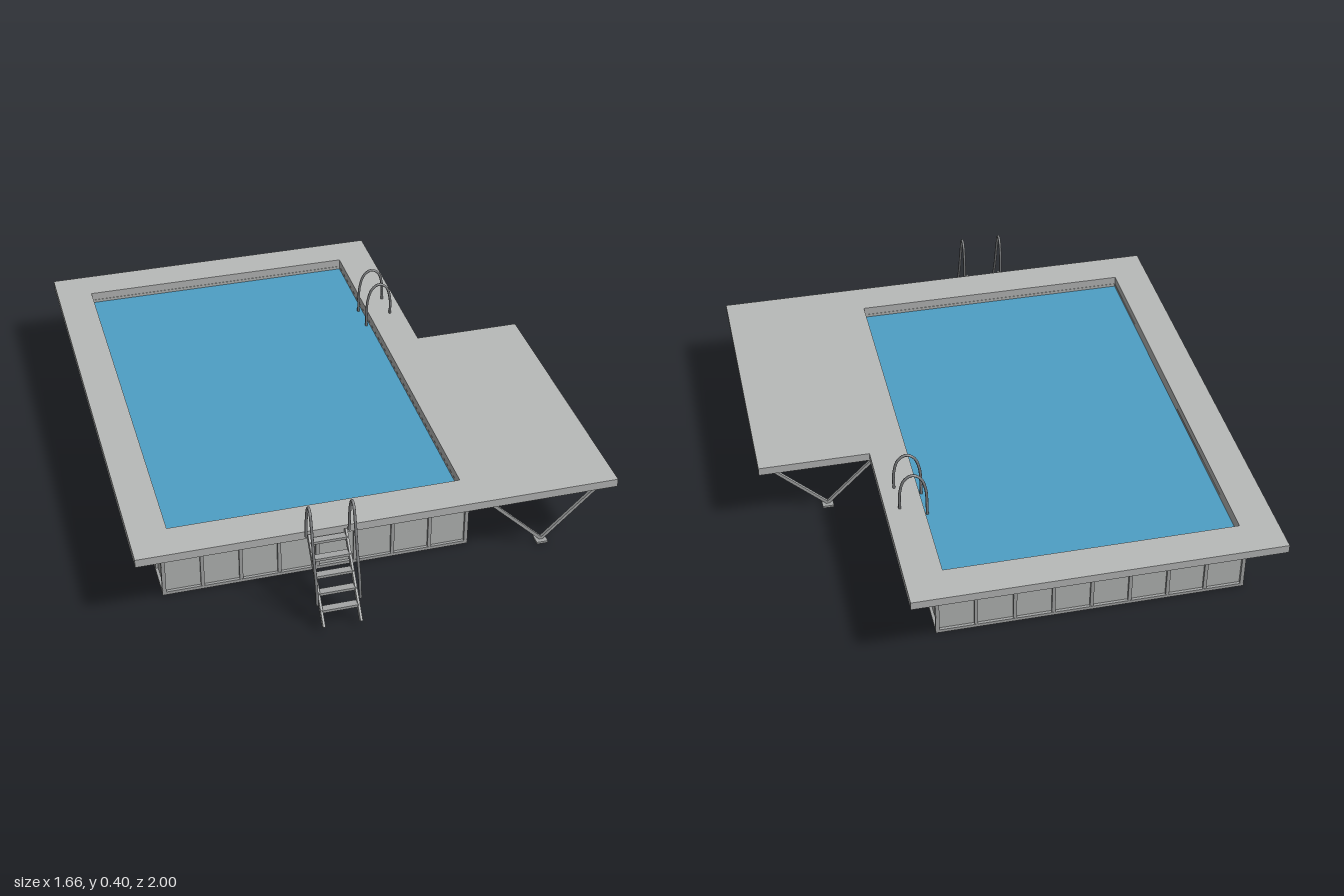
import * as THREE from 'three';

const material = (name, color, side = THREE.FrontSide) => {
  const m = new THREE.MeshStandardMaterial({ color, side });
  m.name = name;
  return m;
};

export function createModel() {
  const deckGrey = material('deck grey', 0xb8bab9);
  const panelGrey = material('panel grey', 0xb6b8b7);
  const frameGrey = material('frame grey', 0xa4a6a6);
  const railGrey = material('rail grey', 0x808284);
  const waterBlue = material('water blue', 0x4e9fc5);
  const floorBlue = material('floor blue', 0x2f6a9e);

  const model = new THREE.Group();
  model.name = 'aboveGroundPool';
  const group = (name) => {
    const g = new THREE.Group();
    g.name = name;
    model.add(g);
    return g;
  };
  const add = (parent, name, geometry, mat) => {
    const mesh = new THREE.Mesh(geometry, mat);
    mesh.name = name;
    parent.add(mesh);
    return mesh;
  };
  // Box given by its minimum and maximum corners
  const box = (parent, name, mat, x0, x1, y0, y1, z0, z1) =>
    add(parent, name, new THREE.BoxGeometry(x1 - x0, y1 - y0, z1 - z0), mat)
      .position.set((x0 + x1) / 2, (y0 + y1) / 2, (z0 + z1) / 2);
  // Square bar between two points
  const bar = (parent, name, mat, a, b, w, d = w) => {
    const p = new THREE.Vector3(...a), q = new THREE.Vector3(...b);
    const mesh = add(parent, name, new THREE.BoxGeometry(w, p.distanceTo(q), d), mat);
    mesh.position.copy(p).add(q).multiplyScalar(0.5);
    mesh.quaternion.setFromUnitVectors(new THREE.Vector3(0, 1, 0), q.sub(p).normalize());
  };
  // Round bent rail through points
  const rail = (parent, name, points, r = 0.005) => {
    const curve = new THREE.CatmullRomCurve3(points.map((p) => new THREE.Vector3(...p)));
    add(parent, name, new THREE.TubeGeometry(curve, 40, r, 8), railGrey);
  };

  // Outer wall limits
  const X0 = -0.73, X1 = 0.34, Z0 = -0.89, Z1 = 0.68, H = 0.23;

  // L-shaped deck with the pool opening
  const outline = (pts) => pts.map(([x, z]) => new THREE.Vector2(x, -z));
  const shape = new THREE.Shape(outline(
    [[-0.83, 0.79], [0.83, 0.79], [0.83, -0.23], [0.44, -0.23], [0.44, -1], [-0.83, -1]]));
  shape.holes.push(new THREE.Path(outline(
    [[-0.7, 0.655], [-0.7, -0.87], [0.31, -0.87], [0.31, 0.655]])));
  const deck = new THREE.ExtrudeGeometry(shape, { depth: 0.03, bevelEnabled: false });
  deck.rotateX(-Math.PI / 2).translate(0, H, 0);
  add(model, 'deck', deck, deckGrey);

  // Water and floor
  box(model, 'water', waterBlue, -0.705, 0.315, 0.012, 0.218, -0.872, 0.657);
  box(model, 'floor', floorBlue, X0 + 0.008, X1 - 0.008, 0, 0.01, Z0 + 0.008, Z1 - 0.008);

  // Wall panels, set back from the frame
  const walls = group('walls');
  const t = 0.01, top = H - 0.001;
  box(walls, 'leftPanel', panelGrey, X1 - 0.03, X1 - t, 0.004, top, Z0 + t, Z1 - t);
  box(walls, 'rightPanel', panelGrey, X0 + t, X0 + 0.03, 0.004, top, Z0 + t, Z1 - t);
  box(walls, 'frontPanel', panelGrey, X0 + 0.03, X1 - 0.03, 0.004, top, Z1 - 0.025, Z1 - t);
  box(walls, 'backPanel', panelGrey, X0 + 0.03, X1 - 0.03, 0.004, top, Z0 + t, Z0 + 0.02);

  // Frame rails and posts around the wall
  const frame = group('wallFrame');
  for (const [y0, y1] of [[0, 0.012], [0.218, top]]) {
    box(frame, 'frontRail', frameGrey, X0, X1, y0, y1, Z1 - 0.014, Z1);
    box(frame, 'backRail', frameGrey, X0, X1, y0, y1, Z0, Z0 + 0.014);
    box(frame, 'leftRail', frameGrey, X1 - 0.014, X1, y0, y1, Z0, Z1);
    box(frame, 'rightRail', frameGrey, X0, X0 + 0.014, y0, y1, Z0, Z1);
  }
  const w = 0.006;
  for (let i = 0; i <= 8; i++) {
    const x = X0 + w + (X1 - X0 - 2 * w) * i / 8;
    box(frame, 'frontPost', frameGrey, x - w, x + w, 0, top, Z1 - 0.013, Z1 - 0.001);
    box(frame, 'backPost', frameGrey, x - w, x + w, 0, top, Z0 + 0.001, Z0 + 0.013);
  }
  for (let i = 0; i <= 12; i++) {
    const z = Z0 + w + (Z1 - Z0 - 2 * w) * i / 12;
    box(frame, 'rightPost', frameGrey, X0 + 0.001, X0 + 0.013, 0, top, z - w, z + w);
  }
  for (const z of [0.674, 0.555, 0.43, 0.298, 0.142, -0.008, -0.163, -0.235, -0.367, -0.507, -0.635, -0.77, -0.884])
    box(frame, 'leftPost', frameGrey, X1 - 0.013, X1 - 0.001, 0, top, z - w, z + w);

  // Diagonal brackets under the deck overhang
  const brackets = group('deckBrackets');
  for (let i = 0; i < 5; i++) {
    const x = -0.69 + i * 0.2475;
    bar(brackets, 'frontBracket', frameGrey, [x, 0.193, Z1], [x, H, Z1 + 0.055], 0.009);
    bar(brackets, 'backBracket', frameGrey, [x, 0.193, Z0], [x, H, Z0 - 0.055], 0.009);
  }
  for (let i = 0; i < 7; i++) {
    const z = -0.85 + i * 0.245;
    bar(brackets, 'rightBracket', frameGrey, [X0, 0.193, z], [X0 - 0.055, H, z], 0.009);
    if (i < 3) bar(brackets, 'leftBracket', frameGrey, [X1, 0.193, z], [X1 + 0.055, H, z], 0.009);
  }

  // V-shaped supports and joists under the side deck
  const supports = group('sideDeckSupports');
  for (const z of [0.73, 0.437, 0.142, -0.163]) {
    bar(supports, 'innerStrut', frameGrey, [0.59, 0.01, z], [0.372, 0.225, z], 0.011);
    bar(supports, 'outerStrut', frameGrey, [0.59, 0.01, z], [0.812, 0.225, z], 0.011);
    box(supports, 'foot', frameGrey, 0.57, 0.61, 0, 0.008, z - 0.02, z + 0.02);
  }
  for (let i = 0; i < 8; i++) {
    const z = 0.765 - i * 0.137;
    box(supports, 'joist', frameGrey, X1, 0.82, 0.218, H, z - 0.009, z + 0.009);
  }

  // Outside ladder: sloping stringers, flat treads and curved handrails
  const ladder = group('outsideLadder');
  for (const x of [-0.257, -0.131]) {
    bar(ladder, 'stringer', frameGrey, [x, 0.25, 0.795], [x, 0.015, 0.99], 0.008, 0.022);
    const hx = x < -0.2 ? x - 0.01 : x + 0.01;
    rail(ladder, 'handrail', [[hx, 0.075, 0.945], [hx, 0.14, 0.935], [hx, 0.24, 0.9],
      [hx, 0.34, 0.872], [hx, 0.385, 0.855], [hx, 0.395, 0.84], [hx, 0.38, 0.822],
      [hx, 0.33, 0.808], [hx, 0.25, 0.803]]);
  }
  for (let i = 0; i < 5; i++) {
    const y = 0.06 + i * 0.043, z = 0.953 - i * 0.0357;
    box(ladder, 'tread', frameGrey, -0.257, -0.131, y - 0.005, y + 0.005, z - 0.013, z + 0.013);
  }

  // Arched grab rails at the pool edge
  const grab = group('grabRails');
  for (const z of [-0.54, -0.43])
    rail(grab, 'grabRail', [[0.296, 0.2, z], [0.296, 0.26, z], [0.3, 0.33, z], [0.317, 0.378, z],
      [0.345, 0.395, z], [0.373, 0.378, z], [0.388, 0.33, z], [0.39, 0.25, z]]);

  return model;
}
